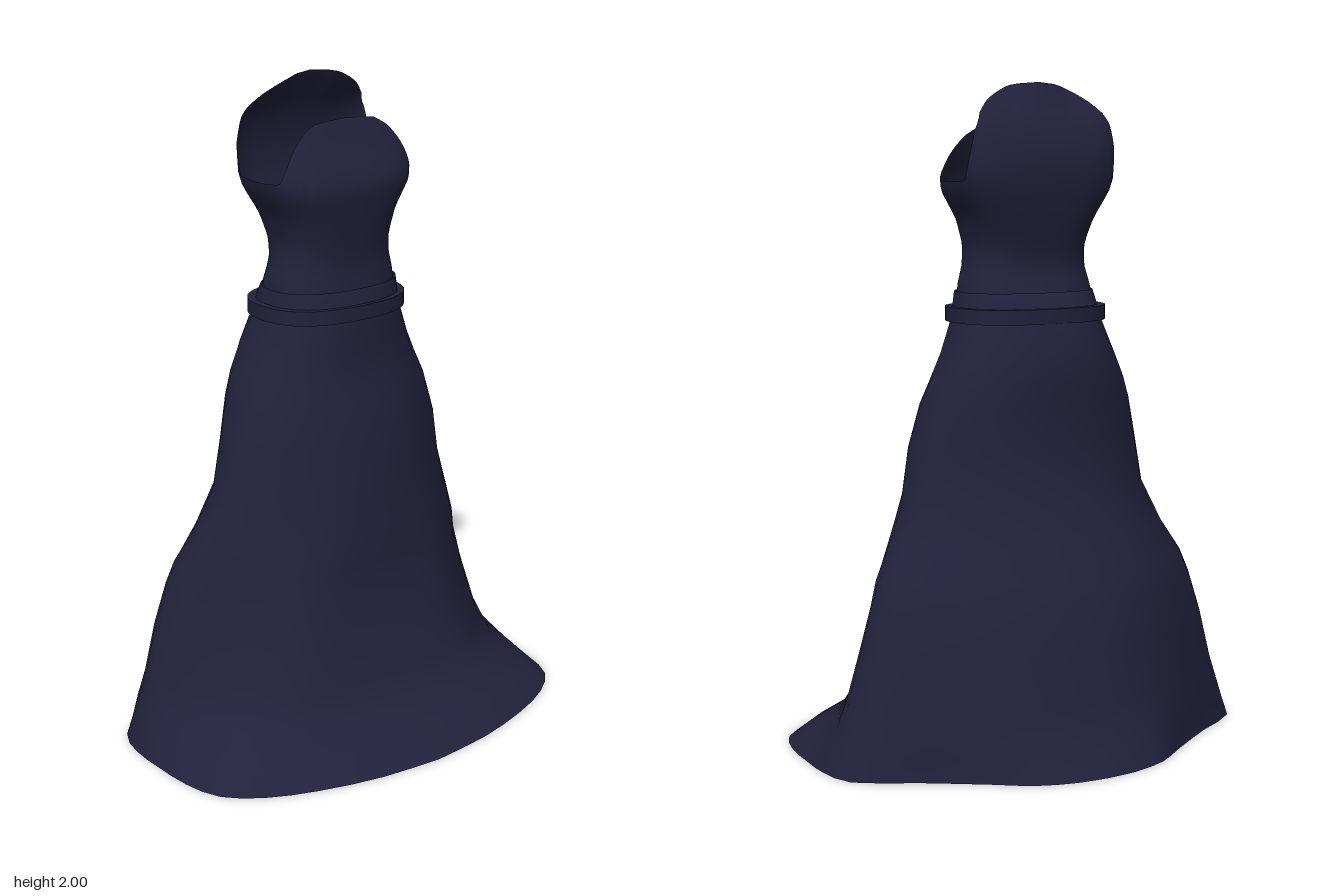
import * as THREE from 'three';
import { toCreasedNormals } from 'three/addons/utils/BufferGeometryUtils.js';

const { lerp, clamp, smoothstep } = THREE.MathUtils;
const navy = new THREE.MeshStandardMaterial({ color: 0x21213c, side: THREE.DoubleSide });

// Linear lookup in rows of [key, value, value, ...], returning the values
function lookup(rows, key) {
  let i = 0;
  while (i < rows.length - 2 && key > rows[i + 1][0]) i++;
  const a = rows[i], b = rows[i + 1];
  const t = clamp((key - a[0]) / (b[0] - a[0]), 0, 1);
  return a.slice(1).map((v, k) => v + (b[k + 1] - v) * t);
}

// Closed tube of cloth: point(row, column) gives [x, y, z], columns run round from the front
function loft(rows, cols, point) {
  const pos = [], index = [];
  for (let j = 0; j < rows; j++) {
    for (let i = 0; i < cols; i++) pos.push(...point(j, i));
  }
  for (let j = 0; j < rows - 1; j++) {
    for (let i = 0; i < cols; i++) {
      const n = (i + 1) % cols;
      const a = j * cols + i, b = j * cols + n, c = a + cols, d = b + cols;
      index.push(a, b, d, a, d, c);
    }
  }
  const g = new THREE.BufferGeometry();
  g.setAttribute('position', new THREE.Float32BufferAttribute(pos, 3));
  g.setIndex(index);
  g.computeVertexNormals();
  return g;
}

// Rounded-box outline of unit size: exponent 1 is an ellipse, smaller is boxier
const power = (v, e) => Math.sign(v) * Math.pow(Math.abs(v), e);
const outline = (angle, e) => [power(Math.sin(angle), e), power(Math.cos(angle), e)];
const place = ([px, pz], y, [w, front, back]) =>
  [px * w, y, (front + back) / 2 + pz * (front - back) / 2];

// Height, half width, front z, back z, share of the hem outline
const SKIRT = [
  [0, 0.70, 0.522, -0.525, 1], [0.06, 0.68, 0.443, -0.492, 0.7], [0.12, 0.655, 0.347, -0.468, 0.35],
  [0.2, 0.63, 0.298, -0.438, 0.15], [0.35, 0.59, 0.257, -0.417, 0], [0.48, 0.55, 0.23, -0.383, 0],
  [0.55, 0.525, 0.226, -0.358, 0], [0.65, 0.465, 0.217, -0.31, 0], [0.78, 0.402, 0.203, -0.264, 0],
  [0.92, 0.378, 0.188, -0.242, 0], [1.05, 0.34, 0.165, -0.245, 0], [1.12, 0.31, 0.145, -0.246, 0],
  [1.2, 0.27, 0.142, -0.245, 0], [1.3, 0.23, 0.138, -0.22, 0], [1.35, 0.222, 0.132, -0.2, 0],
  [1.385, 0.217, 0.122, -0.178, 0],
];

// Halves of the hem and of the knee section seen from above, front to back
const HEM = [
  [0, 0.522], [0.2, 0.502], [0.4, 0.45], [0.55, 0.385], [0.65, 0.30], [0.69, 0.18], [0.70, 0.04],
  [0.70, -0.07], [0.665, -0.19], [0.5, -0.29], [0.32, -0.41], [0.22, -0.48], [0.1, -0.518], [0, -0.526],
];
const KNEE = [
  [0, 0.228], [0.1, 0.227], [0.2, 0.22], [0.28, 0.195], [0.36, 0.135], [0.43, 0.06], [0.49, -0.02],
  [0.535, -0.1], [0.505, -0.175], [0.4, -0.255], [0.29, -0.32], [0.19, -0.36], [0.09, -0.385], [0, -0.39],
];

// Height, half width, front z, back z
const BODICE = [
  [1.34, 0.21, 0.115, -0.18], [1.4, 0.207, 0.108, -0.165], [1.46, 0.191, 0.102, -0.15],
  [1.52, 0.185, 0.108, -0.158], [1.6, 0.203, 0.118, -0.178], [1.68, 0.247, 0.128, -0.192],
  [1.72, 0.256, 0.12, -0.198], [1.8, 0.258, 0.08, -0.196], [1.88, 0.252, 0.047, -0.175],
  [1.95, 0.245, 0.04, -0.142], [1.98, 0.24, 0.04, -0.125], [2.0, 0.235, 0.04, -0.115],
];

// Angle from the front in degrees, height of the neckline
const RIM = [
  [0, 1.88], [15, 1.872], [27, 1.845], [40, 1.8], [52, 1.755], [65, 1.715], [90, 1.71],
  [106, 1.715], [114, 1.79], [122, 1.855], [135, 1.91], [150, 1.945], [165, 1.975], [172, 1.99], [180, 2.0],
];

// Smooth half outline scaled to unit half width and depth
function unitCurve(points, segments) {
  const w = Math.max(...points.map((p) => p[0]));
  const front = points[0][1], back = points[points.length - 1][1];
  const unit = points.map(([x, z]) =>
    new THREE.Vector3(x / w, 0, (2 * z - front - back) / (front - back)));
  return new THREE.CatmullRomCurve3(unit, false, 'centripetal').getPoints(segments);
}

function skirt() {
  const half = 26, cols = half * 2;
  const hem = unitCurve(HEM, half), knee = unitCurve(KNEE, half);
  return loft(SKIRT.length, cols, (j, i) => {
    const k = i <= half ? i : cols - i, side = i <= half ? 1 : -1;
    const [y, w, front, back, share] = SKIRT[j];
    // Ellipse at the hips, flat-fronted section at the knee, then the flared hem
    const e = lerp(1, 0.85, smoothstep(y, 0.8, 1.2));
    const [ex, ez] = outline(Math.atan2(Math.max(knee[k].x, 0), knee[k].z), e);
    const p = knee[k].clone().lerp(new THREE.Vector3(ex, 0, ez), smoothstep(y, 0.45, 0.8));
    p.lerp(hem[k], share);
    return place([p.x * side, p.z], y, [w, front, back]);
  });
}

function bodice() {
  const rows = 17, cols = 96;
  return loft(rows, cols, (j, i) => {
    const angle = (i / cols) * Math.PI * 2;
    const deg = (i / cols) * 360;
    const [top] = lookup(RIM, deg > 180 ? 360 - deg : deg);
    const y = lerp(1.34, top, j / (rows - 1));
    // Boxier towards the open top, most of all behind
    const boxy = Math.cos(angle) < 0 ? 0.5 : 0.62;
    const e = lerp(0.8, boxy, smoothstep(y, 1.45, 1.72));
    const p = place(outline(angle, e), y, lookup(BODICE, y));
    // Both sides of the back edge curl forward
    const curl = smoothstep(y, 1.88, 1.97) * smoothstep(Math.abs(p[0]), 0.02, 0.1);
    if (Math.cos(angle) < 0) p[2] += 0.03 * curl * smoothstep(-p[2], 0.05, 0.1);
    return p;
  });
}

function belt() {
  const ring = [[1.296, 0], [1.296, 1], [1.34, 1], [1.34, 0]];
  const cols = 40;
  const g = loft(ring.length, cols, (j, i) => {
    const [y, out] = ring[j];
    const size = out ? [0.245, 0.147, -0.225] : [0.22, 0.128, -0.2];
    return place(outline((i / cols) * Math.PI * 2, 0.82), y, size);
  });
  return toCreasedNormals(g, 0.9);
}

export function createModel() {
  const model = new THREE.Group();
  model.name = 'dress';
  for (const [name, geometry] of [['skirt', skirt()], ['bodice', bodice()], ['belt', belt()]]) {
    const mesh = new THREE.Mesh(geometry, navy);
    mesh.name = name;
    model.add(mesh);
  }
  return model;
}
